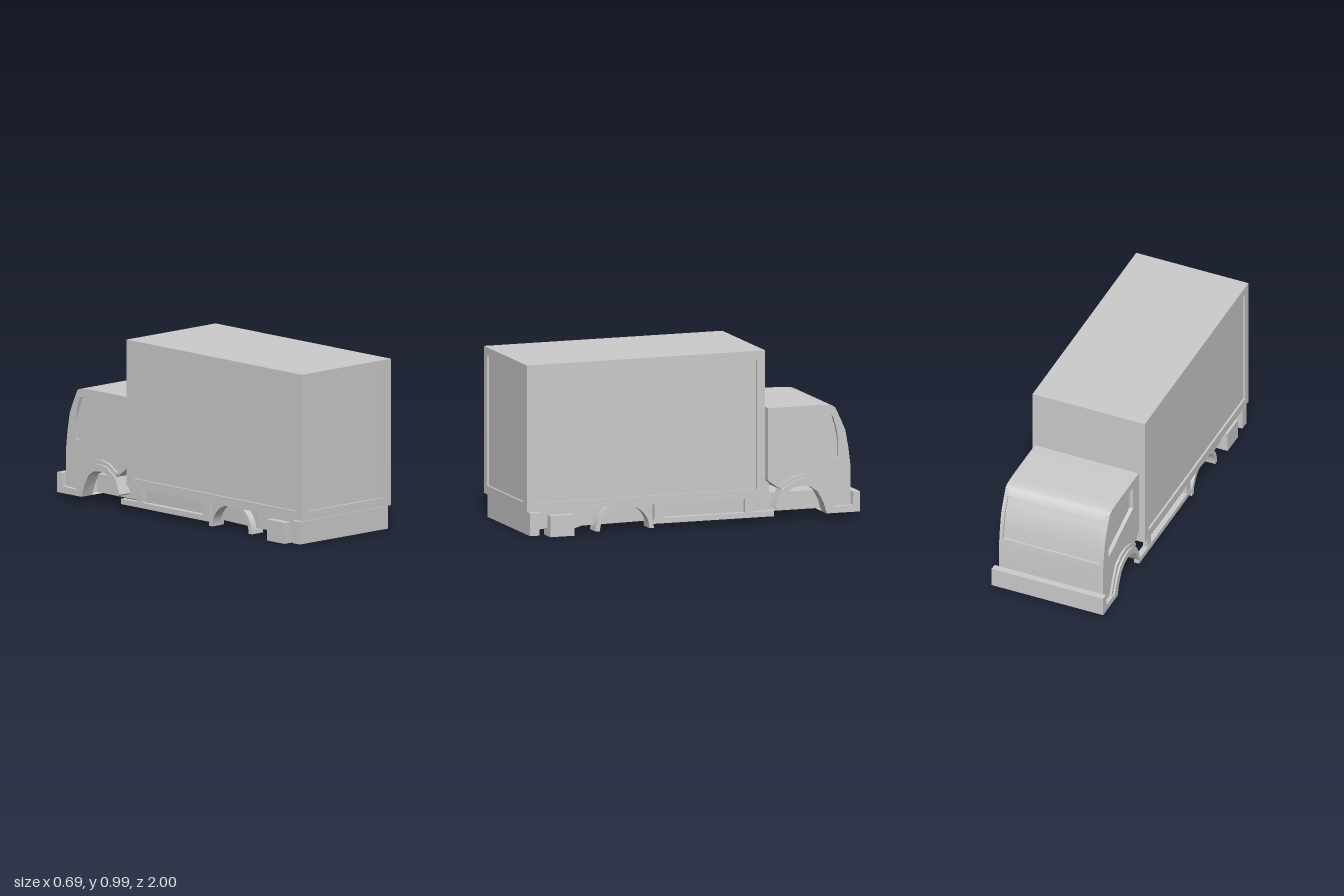
import * as THREE from 'three';
import { toCreasedNormals } from 'three/addons/utils/BufferGeometryUtils.js';

const material = new THREE.MeshStandardMaterial({ color: 0xcccccc });

function shapeOf(points, hole) {
  const shape = new THREE.Shape(points.map(p => new THREE.Vector2(...p)));
  if (hole) shape.holes.push(new THREE.Path(hole.map(p => new THREE.Vector2(...p))));
  return shape;
}

const rect = (u0, u1, v0, v1) => [[u0, v0], [u1, v0], [u1, v1], [u0, v1]];

function extrude(points, depth, hole) {
  return new THREE.ExtrudeGeometry(shapeOf(points, hole), { depth, bevelEnabled: false });
}

// A (z, y) outline swept across x from x0 to x1
function acrossX(points, x0, x1, hole) {
  const geometry = extrude(points, x1 - x0, hole);
  geometry.rotateY(-Math.PI / 2).translate(x1, 0, 0);
  return toCreasedNormals(geometry, 0.45);
}

export function createModel() {
  const truck = new THREE.Group();
  truck.name = 'boxTruck';

  const add = (name, geometry) => {
    const mesh = new THREE.Mesh(geometry, material);
    mesh.name = name;
    truck.add(mesh);
  };
  const block = (name, x0, x1, y0, y1, z0, z1) => {
    const geometry = new THREE.BoxGeometry(x1 - x0, y1 - y0, z1 - z0);
    add(name, geometry.translate((x0 + x1) / 2, (y0 + y1) / 2, (z0 + z1) / 2));
  };
  // The same outline on the left and right sides
  const pair = (name, points, x0, x1, hole) => {
    add('left' + name, acrossX(points, x0, x1, hole));
    add('right' + name, acrossX(points, -x1, -x0, hole));
  };

  // Cargo box: a core with framed side and rear panels
  const frame = 0.012;
  block('cargoBox', -0.345 + frame, 0.345 - frame, 0.15, 0.988, -0.43, 1 - frame);
  pair('CargoFrame', rect(-0.43, 1 - frame, 0.15, 0.988), 0.345 - frame, 0.345, rect(-0.38, 0.955, 0.2, 0.94));
  add('rearCargoFrame', extrude(rect(-0.345, 0.345, 0.15, 0.988), frame, rect(-0.295, 0.295, 0.2, 0.94))
    .translate(0, 0, 1 - frame));

  // Front wheel arch curves, from back to front
  const archInner = [[-0.505, 0.08], [-0.55, 0.16], [-0.605, 0.195], [-0.655, 0.202], [-0.70, 0.195],
    [-0.745, 0.165], [-0.78, 0.1], [-0.8, 0.035]];
  const archOuter = [[-0.49, 0.09], [-0.53, 0.185], [-0.595, 0.23], [-0.65, 0.242], [-0.71, 0.235],
    [-0.765, 0.21], [-0.81, 0.14], [-0.84, 0.07]];
  const lipOuter = [[-0.52, 0.205], [-0.59, 0.25], [-0.65, 0.266], [-0.72, 0.262],
    [-0.785, 0.235], [-0.83, 0.15], [-0.862, 0.07]];

  // Cab: side plates with window recesses around a body with a set-back windscreen
  const underside = [[-0.457, 0.24], ...archOuter.slice(1), [-0.95, 0.07]];
  const roof = [[-0.86, 0.632], [-0.845, 0.643], [-0.82, 0.649], [-0.76, 0.652], [-0.457, 0.652]];
  const sideOutline = [...underside, [-0.95, 0.3], [-0.938, 0.4], [-0.92, 0.5], [-0.894, 0.56], ...roof];
  const bodyOutline = [...underside, [-0.95, 0.3], [-0.946, 0.34], [-0.933, 0.34],
    [-0.925, 0.4], [-0.907, 0.5], [-0.881, 0.56], [-0.867, 0.592], [-0.879, 0.597], ...roof];
  const sideWindow = [[-0.537, 0.605], [-0.69, 0.603], [-0.825, 0.597], [-0.843, 0.588], [-0.865, 0.52],
    [-0.877, 0.45], [-0.877, 0.353], [-0.855, 0.352], [-0.537, 0.46]];
  add('cabBody', acrossX(bodyOutline, -0.298, 0.298));
  pair('CabSide', sideOutline, 0.298, 0.32, sideWindow);
  pair('FrontFender', [...archInner, ...archOuter.slice().reverse()], 0.26, 0.343);
  pair('FenderLip', [...archOuter.slice(1), ...lipOuter.slice().reverse()], 0.31, 0.332);

  // Front bumper with short returns reaching the wheel arches
  add('frontBumper', acrossX([[-0.8, 0.035], [-1, 0.035], [-1, 0.15], [-0.96, 0.15],
    [-0.955, 0.075], [-0.835, 0.07]], -0.343, 0.343));

  // Chassis, tapering towards the cab in plan
  const plan = [[0.3, 0.93], [0.3, 0.6], [0.22, -0.45], [0.22, -0.8], [0.31, -0.82], [0.31, -0.94]];
  const chassis = extrude([...plan, ...plan.map(([x, z]) => [-x, z]).reverse()], 0.105);
  add('chassis', chassis.rotateX(Math.PI / 2).translate(0, 0.152, 0));
  add('chassisTail', acrossX([[0.6, 0.045], [0.7, 0.015], [0.86, 0.03], [0.92, 0.03], [0.92, 0.1], [0.6, 0.1]],
    -0.24, 0.24));
  block('cabMount', -0.22, 0.22, 0.1, 0.27, -0.5, -0.425);
  block('rearBumper', -0.343, 0.343, 0.013, 0.143, 0.922, 0.98);

  // Rear wheel arches
  const rearArch = [];
  const steps = 20;
  for (const [radius, flip] of [[0.175, false], [0.148, true]]) {
    for (let i = 0; i <= steps; i++) {
      const angle = Math.PI * (flip ? steps - i : i) / steps;
      rearArch.push([0.41 + radius * Math.cos(angle), 0.015 + 0.94 * radius * Math.sin(angle)]);
    }
  }
  pair('RearArch', rearArch, 0.25, 0.338);

  // Side rails with posts, and storage boxes behind the rear wheels
  pair('SideRail', rect(-0.485, 0.235, 0.037, 0.068), 0.302, 0.335);
  for (const z of [0.205, -0.34]) pair('RailPost', rect(z - 0.025, z + 0.025, 0.06, 0.155), 0.305, 0.332);
  pair('StorageBox', rect(0.715, 0.858, 0, 0.12), 0.24, 0.345);

  return truck;
}
